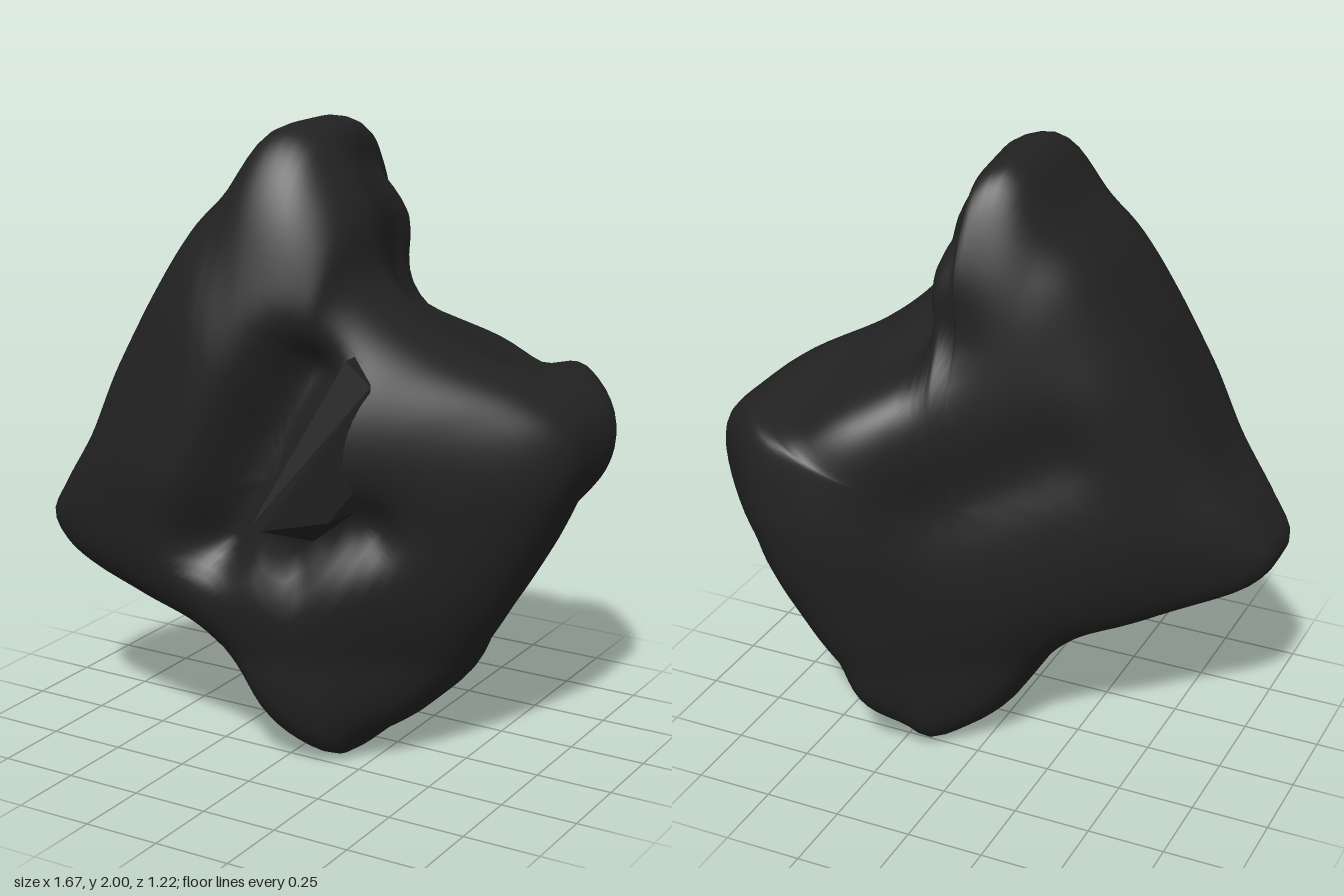
import * as THREE from 'three';
import { ConvexGeometry } from 'three/addons/geometries/ConvexGeometry.js';

const material = new THREE.MeshStandardMaterial({ color: 0x222222 });

// outline of the slab, clockwise from the peak
const outline = [
  [-0.05, 2], [0.04, 1.98], [0.1, 1.92], [0.2, 1.75], [0.23, 1.58], [0.32, 1.46], [0.47, 1.34], [0.7, 1.22],
  [0.81, 1.12], [0.83, 1.0], [0.75, 0.78], [0.62, 0.52], [0.48, 0.29], [0.35, 0.14], [0.23, 0.06], [0.16, 0],
  [0.05, 0.04], [-0.05, 0.12], [-0.16, 0.29], [-0.28, 0.4], [-0.5, 0.48], [-0.78, 0.6], [-0.84, 0.7],
  [-0.78, 0.82], [-0.65, 1.02], [-0.55, 1.25], [-0.42, 1.5], [-0.3, 1.7], [-0.2, 1.81], [-0.1, 1.97],
];

// depth of the two faces along x
const xs = [-0.84, -0.6, -0.4, -0.2, 0, 0.1, 0.2, 0.3, 0.4, 0.6, 0.84];
const frontZ = [0.44, 0.5, 0.52, 0.54, 0.5, 0.47, 0.43, 0.38, 0.33, 0.22, 0.08];
const backZ = [0.08, -0.06, -0.22, -0.32, -0.39, -0.44, -0.52, -0.58, -0.61, -0.62, -0.46];

function lookup(table, x) {
  let i = 0;
  while (i < xs.length - 2 && x > xs[i + 1]) i++;
  const t = THREE.MathUtils.clamp((x - xs[i]) / (xs[i + 1] - xs[i]), 0, 1);
  return THREE.MathUtils.lerp(table[i], table[i + 1], t);
}
// average nearby samples so the faces bend softly
const depth = (table, x) => (lookup(table, x - 0.06) + 2 * lookup(table, x) + lookup(table, x + 0.06)) / 4;

// soft dent along a segment
function dent(x, y, ax, ay, bx, by, width) {
  const dx = bx - ax, dy = by - ay;
  const t = THREE.MathUtils.clamp(((x - ax) * dx + (y - ay) * dy) / (dx * dx + dy * dy), 0, 1);
  const d = Math.hypot(x - ax - t * dx, y - ay - t * dy) / width;
  return Math.exp(-d * d);
}

function surfaceZ(x, y, k) {
  const f = depth(frontZ, x), b = depth(backZ, x), dy2 = (y - 0.95) ** 2;
  const front = f - (y < 0.95 ? Math.min(0.09, 0.26 * dy2) : 0.15 * dy2);
  const back = b + (y < 0.95 ? Math.min(0.08, 0.22 * dy2) : 0.11 * dy2);
  const mid = (front + back) / 2;
  const ripple = 0.008 * Math.sin(9 * x + 4 * y) * Math.sin(8 * y - 3 * x);
  if (k < 0) {
    // hollow under the upper hump, and a valley beside the neck
    const hollow = 0.05 * dent(x, y, -0.25, 1.12, 0.08, 0.95, 0.14)
      + 0.09 * dent(x, y, 0.12, 1.5, 0.3, 1.42, 0.13);
    return mid - k * (back - mid + hollow + ripple);
  }
  // slanting groove and the pit under the spur
  const carve = 0.16 * dent(x, y, -0.15, 0.74, 0.11, 1.28, 0.11)
    + 0.1 * dent(x, y, 0.1, 0.72, 0.29, 0.82, 0.11);
  return mid + k * (front - mid - carve + ripple);
}

// the side walls draw in towards the back at the neck, the shoulder and the lower right
function insetRim(p, k) {
  const back = THREE.MathUtils.smoothstep(-k, -0.5, 0.6);
  const neck = back * dent(p.x, p.y, 0.14, 1.85, 0.24, 1.54, 0.13);
  const shoulder = back * dent(p.x, p.y, 0.25, 1.5, 0.5, 1.32, 0.14);
  const flank = back * dent(p.x, p.y, 0.72, 0.72, 0.48, 0.3, 0.14);
  return [p.x - 0.09 * neck - 0.05 * flank, p.y - 0.02 * neck - 0.11 * shoulder + 0.03 * flank];
}

// rounded slab: rings run from the front centre, over the rim, to the back centre
function slabGeometry() {
  const curve = new THREE.CatmullRomCurve3(outline.map(([x, y]) => new THREE.Vector3(x, y, 0)), true);
  const sides = 144, half = 32, cx = 0.03, cy = 0.95;
  const rim = curve.getSpacedPoints(sides);
  const positions = [], index = [];
  const ring = (i) => 1 + (i - 1) * sides;
  positions.push(cx, cy, surfaceZ(cx, cy, 1));
  for (let i = 1; i < 2 * half; i++) {
    const t = 1 - Math.abs(i - half) / half;
    const s = 1 - (1 - t) ** 3;
    const k = Math.sign(half - i) * Math.max(0, 1 - s ** 5) ** 0.2;
    for (let j = 0; j < sides; j++) {
      const [rx, ry] = insetRim(rim[j], k);
      const x = cx + s * (rx - cx), y = cy + s * (ry - cy);
      positions.push(x, y, surfaceZ(x, y, k));
    }
  }
  const last = ring(2 * half);
  positions.push(cx, cy, surfaceZ(cx, cy, -1));
  for (let j = 0; j < sides; j++) {
    const n = (j + 1) % sides;
    index.push(0, 1 + n, 1 + j);
    for (let i = 1; i < 2 * half - 1; i++) {
      const a = ring(i) + j, b = ring(i) + n, c = ring(i + 1) + j, d = ring(i + 1) + n;
      index.push(a, d, c, a, b, d);
    }
    index.push(last, ring(2 * half - 1) + j, ring(2 * half - 1) + n);
  }
  const geometry = new THREE.BufferGeometry();
  geometry.setAttribute('position', new THREE.Float32BufferAttribute(positions, 3));
  geometry.setIndex(index);
  geometry.computeVertexNormals();
  return geometry;
}

export function createModel() {
  const group = new THREE.Group();

  const body = new THREE.Mesh(slabGeometry(), material);
  body.name = 'rockBody';
  group.add(body);

  // wedge-shaped spur beside the groove, its right flank sinking into the face
  const spur = new THREE.Mesh(new ConvexGeometry([
    [0.09, 0.88, 0.61], [0.11, 0.86, 0.59], [0.14, 1.0, 0.53], [0.2, 1.15, 0.45], [0.27, 1.35, 0.37],
    [0.04, 0.9, 0.42], [0.24, 0.86, 0.42], [0.31, 0.98, 0.34], [0.33, 1.27, 0.33],
    [0.15, 0.77, 0.36], [0.05, 0.85, 0.22], [0.32, 0.9, 0.22], [0.27, 1.36, 0.22],
  ].map((p) => new THREE.Vector3(...p))), material);
  spur.name = 'spur';
  group.add(spur);

  return group;
}
